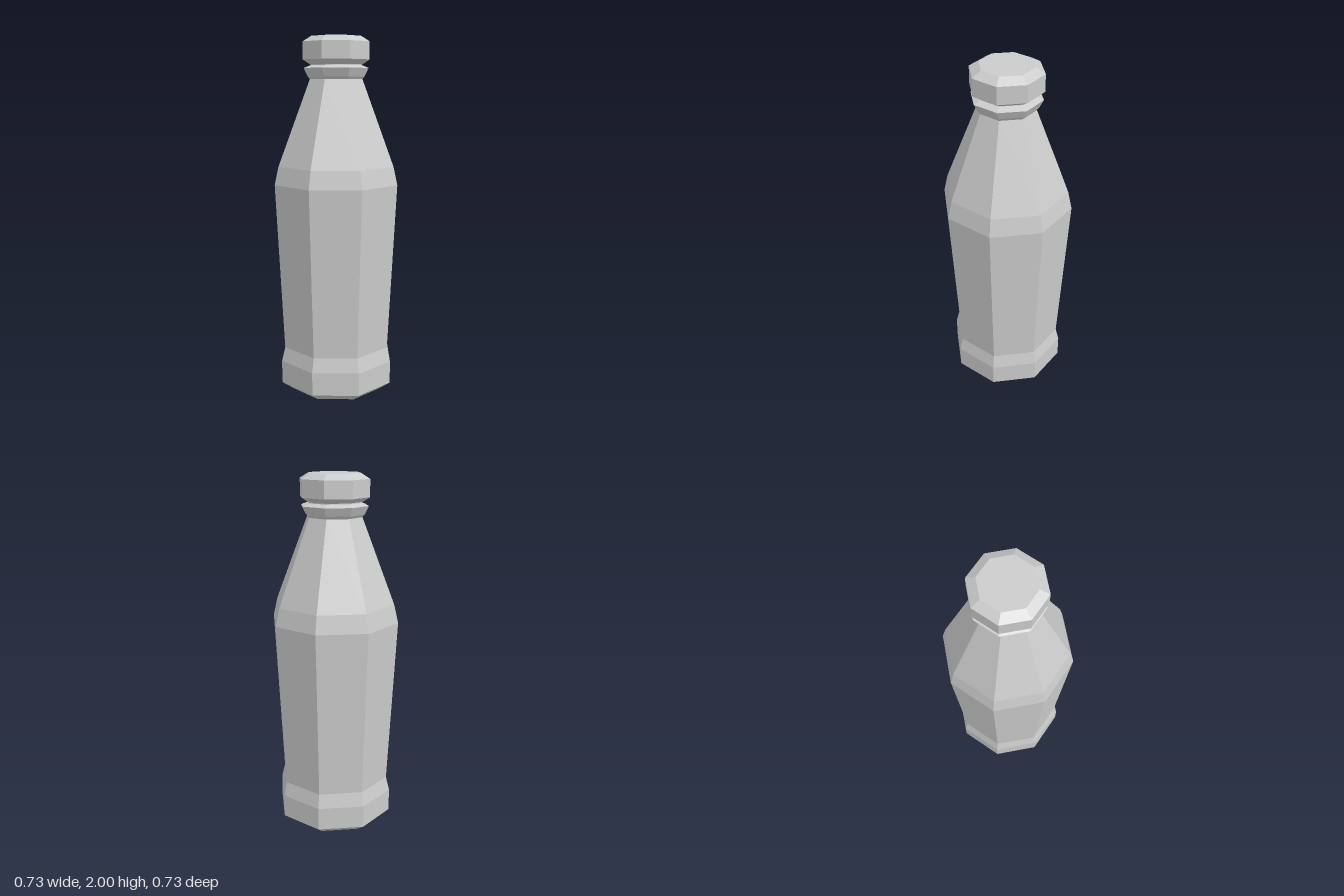
import * as THREE from 'three';

const SIDES = 8;

// Faceted solid of revolution from [radius, height] pairs, bottom to top
function turned(name, profile, material) {
  const points = profile.map(([r, y]) => new THREE.Vector2(r, y));
  const mesh = new THREE.Mesh(new THREE.LatheGeometry(points, SIDES), material);
  mesh.name = name;
  return mesh;
}

export function createModel() {
  const group = new THREE.Group();
  group.name = 'bottle';
  const material = new THREE.MeshStandardMaterial({ color: 0xcccccc, flatShading: true });

  // Body: chamfered foot, pinched waist, widening sides, sloping shoulder, neck ring
  group.add(turned('body', [
    [0, 0], [0.265, 0], [0.335, 0.05], [0.335, 0.18],
    [0.315, 0.26], [0.363, 1.2], [0.34, 1.3], [0.155, 1.77],
    [0.167, 1.785], [0.19, 1.83], [0.15, 1.845], [0.15, 1.86], [0, 1.86],
  ], material));

  // Cap: undercut below, chamfered rim on top
  group.add(turned('cap', [
    [0, 1.845], [0.155, 1.85], [0.195, 1.875], [0.195, 1.97], [0.145, 2], [0, 2],
  ], material));

  return group;
}
